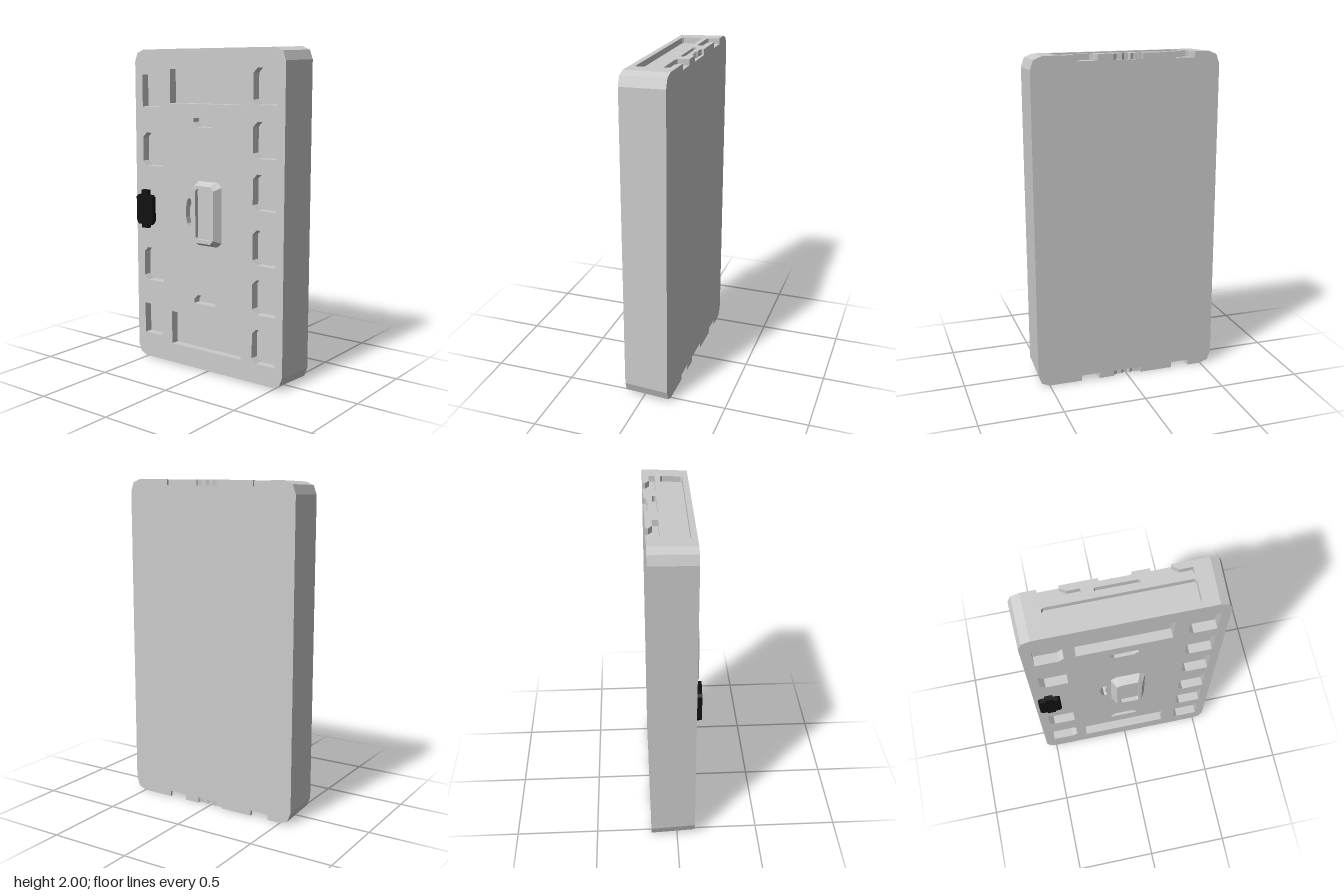
import * as THREE from 'three';

const grey = new THREE.MeshStandardMaterial({ color: 0xcccccc, flatShading: true });
const black = new THREE.MeshStandardMaterial({ color: 0x111111, flatShading: true });

const BACK = -0.16, FRONT = 0.11, FLOOR = 0.055, CAP = 0.035;

const points = (list) => list.map(([x, y]) => new THREE.Vector2(x, y));

// Rectangle with a separate corner cut at bottom-left, bottom-right, top-right, top-left
function cutRect(x0, x1, y0, y1, [bl, br, tr, tl] = [0, 0, 0, 0]) {
  const p = [];
  const corner = (c, a, b) => (c ? p.push(a, b) : p.push(a));
  corner(bl, [x0, y0 + bl], [x0 + bl, y0]);
  corner(br, [x1 - br, y0], [x1, y0 + br]);
  corner(tr, [x1, y1 - tr], [x1 - tr, y1]);
  corner(tl, [x0 + tl, y1], [x0, y1 - tl]);
  return points(p);
}

function extrude(outline, holes, z0, z1) {
  const shape = new THREE.Shape(outline);
  shape.holes = holes.map((h) => new THREE.Path(h));
  const geo = new THREE.ExtrudeGeometry(shape, { depth: z1 - z0, bevelEnabled: false });
  return geo.translate(0, 0, z0);
}

// Moves every vertex by a rule
function warp(geo, rule) {
  const pos = geo.attributes.position;
  const v = new THREE.Vector3();
  for (let i = 0; i < pos.count; i++) {
    rule(v.fromBufferAttribute(pos, i));
    pos.setXYZ(i, v.x, v.y, v.z);
  }
  geo.computeVertexNormals();
  return geo;
}

// The case narrows slightly towards the front
const draft = (v) => {
  const t = (v.z - BACK) / (FRONT - BACK);
  v.x *= 1 - 0.014 * t;
  v.y = 1 + (v.y - 1) * (1 - 0.01 * t);
};

export function createModel() {
  const model = new THREE.Group();
  const add = (name, geo, material = grey) => {
    const mesh = new THREE.Mesh(geo, material);
    mesh.name = name;
    model.add(mesh);
  };

  // Case outline, stepped down at both ends to receive the end panels
  const quarter = [[0.57, 1.925], [0.55, 1.98], [0.5, 2], [0.45, 2], [0.45, 2 - CAP]];
  const half = [...quarter.map(([x, y]) => [x, 2 - y]).reverse(), ...quarter];
  const outline = points([...half, ...half.map(([x, y]) => [-x, y]).reverse()]);

  // Pockets in the front face
  const c = 0.03;
  const pockets = [
    cutRect(-0.28, 0.265, 1.67, 1.88),
    cutRect(-0.28, 0.265, 0.125, 0.34),
    cutRect(-0.51, -0.345, 1.645, 1.845, [0, c, c, 0]),
    cutRect(-0.51, -0.345, 1.27, 1.48, [c, 0, 0, c]),
    cutRect(-0.51, -0.345, 0.52, 0.735, [c, 0, 0, c]),
    cutRect(-0.51, -0.345, 0.16, 0.36, [0, c, c, 0]),
    cutRect(-0.095, 0.075, 1.53, 1.585, [c, c, 0, 0]),
    cutRect(-0.095, 0.075, 0.425, 0.48, [0, 0, c, c]),
  ];
  for (const y of [0.125, 0.43, 0.73, 1.06, 1.365, 1.675]) {
    pockets.push(cutRect(0.35, 0.515, y, y + 0.212, [c, 0, 0, c]));
  }
  // Curved finger slot beside the boss
  pockets.push(points([
    [-0.135, 0.91], [-0.118, 0.92], [-0.115, 0.94], [-0.125, 0.97], [-0.125, 1.03],
    [-0.115, 1.06], [-0.118, 1.08], [-0.135, 1.09], [-0.15, 1.07], [-0.157, 1.03],
    [-0.157, 0.97], [-0.15, 0.93],
  ]));

  add('caseBack', warp(extrude(outline, [], BACK, FLOOR), draft));
  add('caseFront', warp(extrude(outline, pockets, FLOOR, FRONT), draft));

  // End panels: latch notches along the back edge, a long recess and a slot (x, z)
  const latch = (dx) => [
    [-0.415, BACK], [-0.402, -0.095], [-0.385, -0.087], [-0.192, -0.087], [-0.192, -0.122],
    [-0.265, -0.122], [-0.298, -0.145], [-0.298, BACK],
  ].map(([x, z]) => [x + dx, z]);
  const keyNotch = [
    [-0.092, BACK], [-0.09, -0.145], [-0.04, -0.138], [-0.02, -0.147], [-0.01, -0.135],
    [0.015, -0.133], [0.03, -0.143], [0.06, -0.138], [0.085, -0.15], [0.085, BACK],
  ];
  const panel = points([
    [-0.45, BACK], ...latch(0), ...keyNotch, ...latch(0.595),
    [0.45, BACK], [0.45, FRONT], [-0.45, FRONT],
  ]);
  const panelHoles = [
    cutRect(-0.412, 0.407, -0.055, 0.076, [0.012, 0.012, 0.012, 0.012]),
    cutRect(-0.125, 0.12, -0.111, -0.086, [0.008, 0.008, 0.008, 0.008]),
  ];
  for (const [name, y] of [['topPanel', 2], ['bottomPanel', CAP]]) {
    const geo = extrude(panel, panelHoles, 0, CAP).rotateX(Math.PI / 2).translate(0, y, 0);
    add(name, warp(geo, draft));
  }

  // Raised boss with sloping sides around a shallow well
  const k = 0.025;
  const rim = cutRect(-0.077, 0.077, -0.175, 0.175, [k, k, k, k]);
  const well = cutRect(-0.058, 0.058, -0.153, 0.153, [0.01, 0.01, 0.01, 0.01]);
  const boss = warp(extrude(rim, [well], FRONT, 0.16), (v) => {
    if (v.z < 0.12 && (Math.abs(v.x) > 0.062 || Math.abs(v.y) > 0.16)) {
      v.x *= 1.36;
      v.y *= 1.13;
    }
  });
  add('boss', boss.translate(0.015, 1.002, 0));
  add('bossWell', extrude(well, [], FRONT, 0.135).translate(0.015, 1.002, 0));

  // Dark latch button with a tab at each end
  const side = [
    [0.025, -0.122], [0.025, -0.1], [0.052, -0.1], [0.067, -0.075],
    [0.067, 0.075], [0.052, 0.09], [0.025, 0.09], [0.025, 0.122],
  ];
  const button = points([...side, ...side.map(([x, y]) => [-x, y]).reverse()]);
  add('latchButton', extrude(button, [], FRONT, 0.14).translate(-0.472, 0.992, 0), black);

  return model;
}
